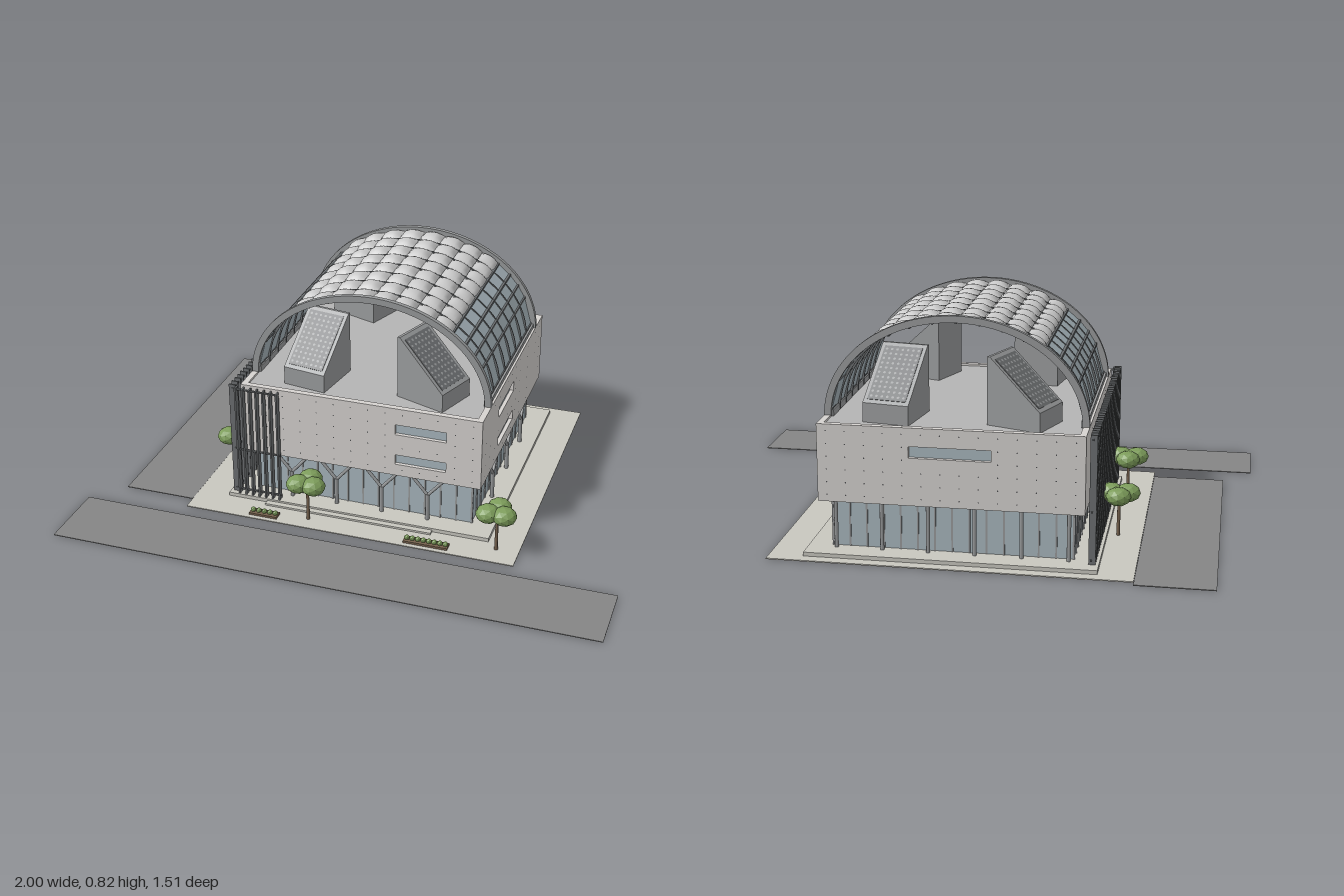
import * as THREE from 'three';
import { mergeGeometries } from 'three/addons/utils/BufferGeometryUtils.js';

const mat = (color, flat = false) => new THREE.MeshStandardMaterial({ color, flatShading: flat, side: THREE.DoubleSide });
const M = {
  concrete: mat(0xd6d3d0), deck: mat(0xb4b4b4), ground: mat(0xc8c7bf), road: mat(0x858585),
  glass: mat(0xaab8bf), frame: mat(0x6c6f71), steel: mat(0x999b9c), dark: mat(0x4c4e50),
  pillow: mat(0xbcbcbc), leaf: mat(0x7c9c5a, true), trunk: mat(0x76624e), panel: mat(0x6b6d6f),
};

// Geometry helpers
const boxG = (x0, x1, y0, y1, z0, z1) =>
  new THREE.BoxGeometry(x1 - x0, y1 - y0, z1 - z0).translate((x0 + x1) / 2, (y0 + y1) / 2, (z0 + z1) / 2);
const strutG = (a, b, r) => {
  const p = new THREE.Vector3(...a), d = new THREE.Vector3(...b).sub(p), len = d.length();
  const q = new THREE.Quaternion().setFromUnitVectors(new THREE.Vector3(0, 1, 0), d.normalize());
  return new THREE.CylinderGeometry(r, r, len, 8).translate(0, len / 2, 0).applyQuaternion(q).translate(...a);
};
const add = (parent, name, geos, material) => {
  const m = new THREE.Mesh(Array.isArray(geos) ? mergeGeometries(geos) : geos, material);
  m.name = name;
  parent.add(m);
  return m;
};

// Main dimensions
const X = 0.455, ZF = 0.267, ZB = -0.65, ZC = (ZF + ZB) / 2, Y0 = 0.19, Y1 = 0.463, T = 0.022;
const RX = 0.435, RY = 0.345, VF = 0.14, VB = -0.53, ROWS = 8, PITCH = (VF - VB) / ROWS;
const arc = (t, o = 0) => [(RX + o) * Math.cos(t), 0.46 + (RY + o) * Math.sin(t)];

// One wall, facing local +z, with recessed windows [u0, u1, y0, y1] and tie holes
function wall(parent, name, width, windows, position, turn) {
  const g = new THREE.Group();
  g.name = name;
  const w = width / 2;
  const s = new THREE.Shape().moveTo(-w, Y0).lineTo(w, Y0).lineTo(w, Y1).lineTo(-w, Y1).closePath();
  const ties = [];
  for (const [a, b, c, d] of windows) {
    s.holes.push(new THREE.Path().moveTo(a, c).lineTo(a, d).lineTo(b, d).lineTo(b, c).closePath());
    add(g, 'windowGlass', boxG(a, b, c, d, -T, -0.014), M.glass);
  }
  const inWindow = (u, y) => windows.some(([a, b, c, d]) => u > a - 0.01 && u < b + 0.01 && y > c - 0.01 && y < d + 0.01);
  for (let i = 0; i < 14; i++) for (let j = 0; j < 6; j++) {
    const u = -w + (i + 0.5) * width / 14, y = Y0 + 0.025 + j * 0.045;
    if (!inWindow(u, y)) ties.push(new THREE.CircleGeometry(0.0025, 6).translate(u, y, 0.0008));
  }
  add(g, 'wallPanel', new THREE.ExtrudeGeometry(s, { depth: T, bevelEnabled: false }).translate(0, 0, -T), M.concrete);
  add(g, 'tieHoles', ties, M.dark);
  g.position.set(...position);
  g.rotation.y = turn;
  parent.add(g);
}

// Wedge skylight: slopes down along local +x, width along local z
function skylight(parent, x, z, turn) {
  const g = new THREE.Group();
  g.name = 'skylight';
  const W = 0.165, top = [-0.09, 0.238], low = [0.1, 0.07];
  const s = new THREE.Shape().moveTo(-0.1, 0).lineTo(0.1, 0).lineTo(...low).lineTo(...top).lineTo(-0.1, 0.238).closePath();
  add(g, 'skylightBody', new THREE.ExtrudeGeometry(s, { depth: W, bevelEnabled: false }).translate(0, 0, -W / 2), M.steel);
  // Perforated panel lying on the slope
  const L = Math.hypot(low[0] - top[0], low[1] - top[1]);
  const slope = new THREE.Group();
  slope.name = 'slopePanel';
  slope.position.set((low[0] + top[0]) / 2, (low[1] + top[1]) / 2, 0);
  slope.rotation.z = Math.atan2(low[1] - top[1], low[0] - top[0]);
  add(slope, 'panelSheet', boxG(-L * 0.44, L * 0.44, 0, 0.002, -W * 0.42, W * 0.42), M.panel);
  const dots = [];
  for (let i = 0; i < 11; i++) for (let j = 0; j < 7; j++)
    dots.push(new THREE.CircleGeometry(0.005, 8).rotateX(-Math.PI / 2).translate((i - 5) * 0.0195, 0.0028, (j - 3) * 0.0195));
  add(slope, 'panelDots', dots, M.steel);
  g.add(slope);
  g.position.set(x, 0.453, z);
  g.rotation.y = turn;
  parent.add(g);
}

// Arched rib, extruded along z
function ribG(outer, inner, z, depth) {
  const s = new THREE.Shape();
  s.absellipse(0, 0, RX + outer, RY + outer, 0, Math.PI, false, 0);
  s.lineTo(-RX - inner, 0);
  s.absellipse(0, 0, RX + inner, RY + inner, Math.PI, 0, true, 0);
  s.closePath();
  return new THREE.ExtrudeGeometry(s, { depth, bevelEnabled: false, curveSegments: 32 }).translate(0, 0.46, z);
}

function vault(parent) {
  const g = new THREE.Group();
  g.name = 'vaultRoof';
  const deg = Math.PI / 180, sides = [3, 21.5, 30, 38, 47].map(d => d * deg), purlins = [], panes = [], ribs = [];
  add(g, 'endArches', [ribG(0.02, -0.004, VF - 0.003, 0.018), ribG(0.02, -0.004, VB - 0.015, 0.018)], M.steel);
  for (let i = 1; i < ROWS; i++) ribs.push(ribG(0.004, -0.012, VB + i * PITCH - 0.003, 0.006));
  add(g, 'innerRibs', ribs, M.frame);
  // Flat glass strips on both flanks
  for (const flip of [0, 1]) for (let k = 0; k < sides.length; k++) {
    const at = t => arc(flip ? Math.PI - t : t);
    const a = at(sides[k]);
    purlins.push(boxG(a[0] - 0.005, a[0] + 0.005, a[1] - 0.004, a[1] + 0.006, VB, VF));
    if (k === sides.length - 1) continue;
    const b = at(sides[k + 1]);
    panes.push(new THREE.BoxGeometry(Math.hypot(b[0] - a[0], b[1] - a[1]), 0.004, VF - VB)
      .rotateZ(Math.atan2(b[1] - a[1], b[0] - a[0])).translate((a[0] + b[0]) / 2, (a[1] + b[1]) / 2, (VF + VB) / 2));
  }
  add(g, 'flankGlass', panes, M.glass);
  // Air cushions over the crown
  const cushions = [], COLS = 8, t0 = 47 * deg, dt = 86 * deg / COLS;
  for (let c = 0; c < COLS; c++) {
    if (c) {
      const [x, y] = arc(t0 + c * dt, -0.004);
      purlins.push(boxG(x - 0.003, x + 0.003, y - 0.006, y + 0.004, VB, VF));
    }
    for (let r = 0; r < ROWS; r++) {
      const p = new THREE.PlaneGeometry(1, 1, 6, 6), pos = p.attributes.position;
      for (let i = 0; i < pos.count; i++) {
        const u = pos.getX(i) + 0.5, v = pos.getY(i) + 0.5;
        const [x, y] = arc(t0 + (c + 1 - u) * dt, 0.02 * Math.sqrt(Math.max(0, Math.sin(u * Math.PI) * Math.sin(v * Math.PI))));
        pos.setXYZ(i, x, y, VF - (r + v) * PITCH);
      }
      p.computeVertexNormals();
      const n = p.attributes.normal;
      if (n.getY(24) < 0) { // keep the faces outward
        p.index.array.reverse();
        p.computeVertexNormals();
      }
      cushions.push(p);
    }
  }
  add(g, 'airCushions', cushions, M.pillow);
  add(g, 'purlins', purlins, M.frame);
  for (const s of [-1, 1]) add(g, 'sill', new THREE.BoxGeometry(0.022, 0.022, VF - VB).translate(s * 0.436, 0.468, (VF + VB) / 2), M.steel);
  parent.add(g);
}

function tree(parent, x, z, turn) {
  const g = new THREE.Group();
  g.name = 'tree';
  add(g, 'trunk', new THREE.CylinderGeometry(0.005, 0.007, 0.14, 7).translate(0, 0.07, 0), M.trunk);
  const blobs = [0, 1, 2].map(i => {
    const a = turn + i * Math.PI * 2 / 3;
    return new THREE.IcosahedronGeometry(1, 1).scale(0.045, 0.033, 0.045).translate(0.034 * Math.cos(a), 0.158, 0.034 * Math.sin(a));
  });
  add(g, 'canopy', blobs, M.leaf);
  g.position.set(x, 0, z);
  parent.add(g);
}

export function createModel() {
  const root = new THREE.Group();
  root.name = 'building';
  // Site
  add(root, 'frontRoad', boxG(-1, 1, 0, 0.003, 0.483, 0.75), M.road);
  add(root, 'sideRoad', boxG(-0.895, -0.626, 0, 0.003, -0.76, 0.37), M.road);
  add(root, 'plaza', boxG(-0.625, 0.62, 0, 0.004, -0.735, 0.425), M.ground);
  add(root, 'plinth', boxG(-0.503, 0.5, 0.004, 0.018, -0.695, 0.308), M.ground);
  add(root, 'entranceStep', boxG(-0.35, 0.29, 0.004, 0.011, 0.308, 0.33), M.ground);
  // Glazed ground floor
  const gx = 0.415, gf = 0.225, gb = -0.605, mull = [];
  add(root, 'groundFloorGlass', boxG(-gx, gx, 0.018, Y0, gb, gf), M.glass);
  for (let i = 0; i <= 14; i++) {
    const x = -gx + i * gx / 7, z = gb + i * (gf - gb) / 14;
    for (const e of [gf, gb]) mull.push(boxG(x - 0.003, x + 0.003, 0.018, Y0, e - 0.004, e + 0.004));
    for (const e of [-gx, gx]) mull.push(boxG(e - 0.004, e + 0.004, 0.018, Y0, z - 0.003, z + 0.003));
  }
  add(root, 'mullions', mull, M.steel);
  // Forked columns on the front and right, plain posts on the back
  const cols = [];
  const fork = (x, z, dx, dz) => {
    cols.push(strutG([x, 0.018, z], [x, 0.125, z], 0.008));
    for (const s of [-1, 1]) cols.push(strutG([x, 0.12, z], [x + s * dx, Y0, z + s * dz], 0.006));
  };
  for (const x of [-0.27, -0.095, 0.08, 0.255]) fork(x, 0.252, 0.06, 0);
  for (const z of [0.03, -0.19, -0.405]) fork(0.44, z, 0, 0.06);
  for (let i = 0; i < 6; i++) cols.push(strutG([-0.4 + i * 0.16, 0.018, -0.625], [-0.4 + i * 0.16, Y0, -0.625], 0.007));
  add(root, 'columns', cols, M.steel);
  // Upper storeys
  add(root, 'soffit', boxG(-X + T, X - T, Y0, Y0 + 0.015, ZB + T, ZF - T), M.concrete);
  add(root, 'roofDeck', boxG(-X + T, X - T, 0.44, 0.455, ZB + T, ZF - T), M.deck);
  const low = [0.236, 0.275], high = [0.358, 0.398];
  wall(root, 'frontWall', 2 * X, [[0.135, 0.325, ...low], [0.135, 0.325, ...high]], [0, 0, ZF], 0);
  wall(root, 'backWall', 2 * X, [[-0.14, 0.14, ...high]], [0, 0, ZB], Math.PI);
  const rw = [ZC - 0.03, ZC + 0.19];
  wall(root, 'rightHandWall', ZF - ZB - 2 * T, [[...rw, ...low], [...rw, ...high]], [X, 0, ZC], Math.PI / 2);
  wall(root, 'finnedWall', ZF - ZB - 2 * T, [], [-X, 0, ZC], -Math.PI / 2);
  // Vertical fins on the side and around the front corner
  const fins = [];
  for (let i = 0; i < 36; i++) {
    const z = 0.285 - i * 0.0265;
    fins.push(boxG(-0.492, -0.468, 0.018, 0.468, z - 0.003, z + 0.003));
  }
  for (let i = 0; i < 7; i++) {
    const x = -0.463 + i * 0.0265;
    fins.push(boxG(x - 0.003, x + 0.003, 0.018, 0.462, 0.28, 0.304));
  }
  for (const y of [0.03, 0.2, 0.45]) {
    fins.push(boxG(-0.48, -0.474, y, y + 0.006, ZB, 0.29));
    fins.push(boxG(-0.48, -0.3, y, y + 0.006, 0.286, 0.292));
  }
  add(root, 'fins', fins, M.frame);
  // Skylights, in pairs turned half a turn about the roof centre
  for (const [x, z, turn] of [[0.231, 0.117, -0.35], [-0.214, 0.109, -Math.PI / 2 - 0.16]]) {
    skylight(root, x, z, turn);
    skylight(root, -x, 2 * ZC - z, turn + Math.PI);
  }
  vault(root);
  // Planting
  [[-0.54, -0.31], [-0.54, 0.12], [-0.165, 0.367], [0.537, 0.343]].forEach(([x, z]) => tree(root, x, z, -Math.PI / 2));
  for (const [x0, x1, n] of [[-0.383, -0.275, 5], [0.21, 0.374, 8]]) {
    add(root, 'planter', boxG(x0, x1, 0.004, 0.012, 0.37, 0.408), M.trunk);
    const shrubs = [];
    for (let i = 0; i < n; i++)
      shrubs.push(new THREE.IcosahedronGeometry(0.01, 1).translate(x0 + (i + 0.5) * (x1 - x0) / n, 0.017, 0.389));
    add(root, 'shrubs', shrubs, M.leaf);
  }
  return root;
}
